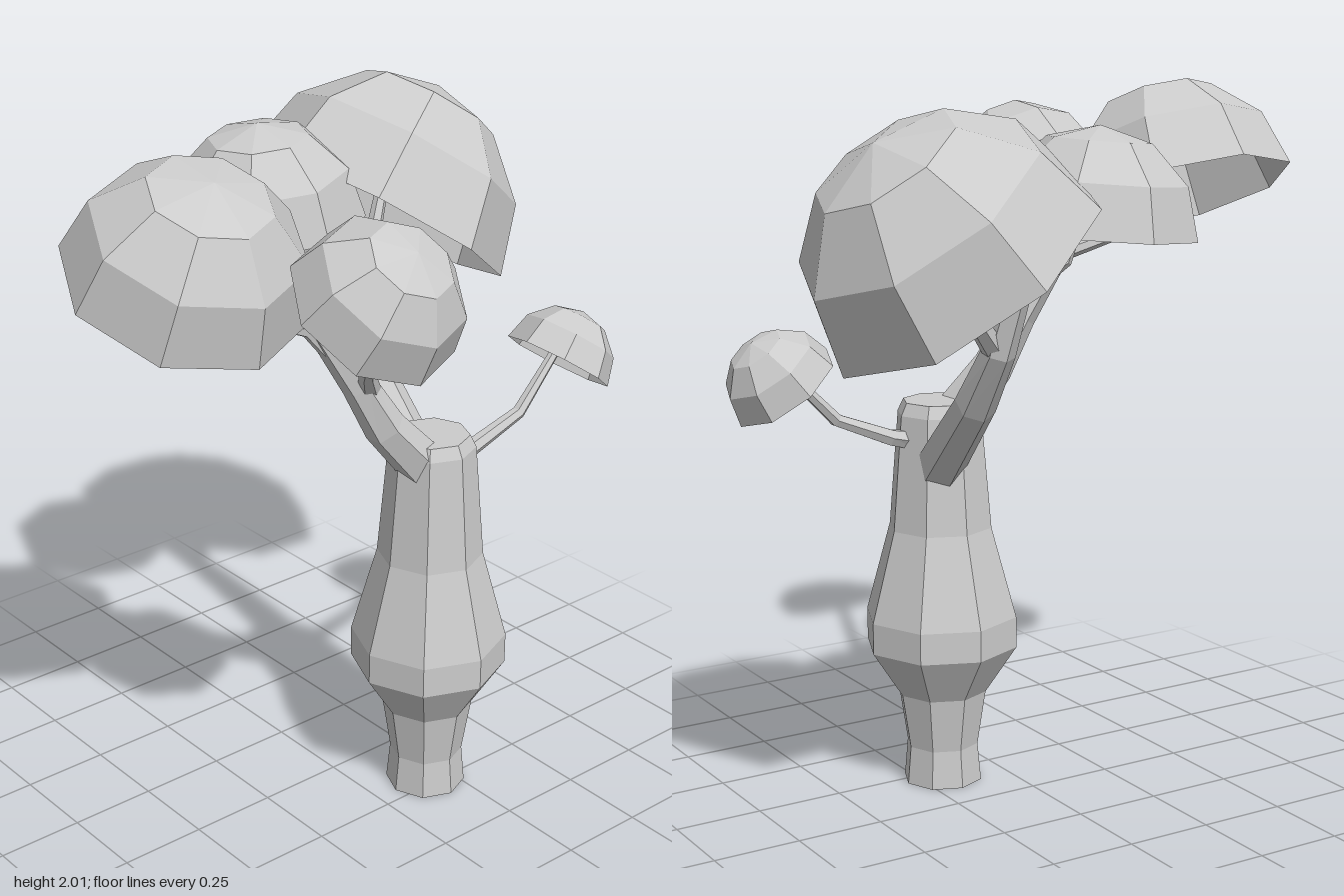
import * as THREE from 'three';

const V = (a) => new THREE.Vector3(...a);
const UP = new THREE.Vector3(0, 1, 0);
const material = new THREE.MeshStandardMaterial({
  color: 0xcccccc, flatShading: true, side: THREE.DoubleSide,
});

function part(name, geometry) {
  const mesh = new THREE.Mesh(geometry, material);
  mesh.name = name;
  return mesh;
}

// Tapered six-sided limb: the rings of a cylinder are moved onto the path points
function limb(name, r0, r1, path) {
  const pts = path.map(V);
  const n = pts.length - 1;
  const geo = new THREE.CylinderGeometry(1, 1, 1, 6, n);
  const pos = geo.attributes.position;
  const turns = pts.map((p, i) => {
    const dir = pts[Math.min(i + 1, n)].clone().sub(pts[Math.max(i - 1, 0)]).normalize();
    return new THREE.Quaternion().setFromUnitVectors(UP, dir);
  });
  const v = new THREE.Vector3();
  for (let i = 0; i < pos.count; i++) {
    v.fromBufferAttribute(pos, i);
    const ring = Math.round((v.y + 0.5) * n);
    v.setY(0).multiplyScalar(THREE.MathUtils.lerp(r0, r1, ring / n));
    v.applyQuaternion(turns[ring]).add(pts[ring]);
    pos.setXYZ(i, v.x, v.y, v.z);
  }
  geo.computeVertexNormals();
  return part(name, geo);
}

// Hollow eight-sided half dome, tilted towards a direction
function canopy(name, radius, center, dir) {
  const mesh = part(name, new THREE.SphereGeometry(radius, 8, 3, 0, Math.PI * 2, 0, Math.PI / 2));
  mesh.position.set(...center);
  mesh.quaternion.setFromUnitVectors(UP, V(dir).normalize());
  return mesh;
}

export function createModel() {
  const tree = new THREE.Group();
  tree.name = 'tree';

  // Bottle-shaped trunk, open underneath
  const profile = [
    [0.115, 0], [0.105, 0.11], [0.13, 0.27], [0.222, 0.41], [0.222, 0.5],
    [0.15, 0.76], [0.122, 1.09], [0.105, 1.125], [0, 1.125],
  ].map(([r, y]) => new THREE.Vector2(r, y));
  const trunk = part('trunk', new THREE.LatheGeometry(profile, 8));
  trunk.position.set(0.18, 0, 0.21);
  tree.add(trunk);

  // Main branches and the twigs that carry the canopies
  tree.add(
    limb('rightBranch', 0.07, 0.035, [[0.14, 1.04, 0.23], [0, 1.2, 0.215], [-0.08, 1.34, 0.2], [-0.23, 1.6, 0.15]]),
    limb('rightTwig', 0.03, 0.012, [[-0.1, 1.38, 0.19], [-0.22, 1.52, 0.16], [-0.55, 1.64, 0.03]]),
    limb('frontTwig', 0.032, 0.014, [[-0.05, 1.32, 0.21], [-0.11, 1.4, 0.27], [-0.27, 1.67, 0.5]]),
    limb('backBranch', 0.07, 0.035, [[0.22, 0.95, 0.14], [0.245, 1.17, -0.1], [0.245, 1.33, -0.22], [0.2, 1.68, -0.33]]),
    limb('backLeftTwig', 0.035, 0.018, [[0.24, 1.32, -0.21], [0.35, 1.44, -0.27], [0.45, 1.65, -0.32]]),
    limb('backRightTwig', 0.025, 0.012, [[0.22, 1.48, -0.27], [0.09, 1.57, -0.3], [0.02, 1.78, -0.32]]),
    limb('leftTwig', 0.03, 0.014, [[0.25, 1.015, 0.21], [0.34, 1.035, 0.205], [0.5, 1.1, 0.22], [0.66, 1.26, 0.21]]),
  );

  // Leaf canopies
  tree.add(
    canopy('backLeftCanopy', 0.41, [0.42, 1.57, -0.32], [0.585, 0.81, 0]),
    canopy('backRightCanopy', 0.28, [0.02, 1.64, -0.32], [-0.09, 1, 0]),
    canopy('rightCanopy', 0.33, [-0.51, 1.68, 0.03], [0, 0.91, 0.41]),
    canopy('frontCanopy', 0.23, [-0.29, 1.7, 0.5], [0.08, 0.79, 0.61]),
    canopy('leftCanopy', 0.16, [0.66, 1.21, 0.21], [0.59, 0.81, 0]),
  );
  return tree;
}
